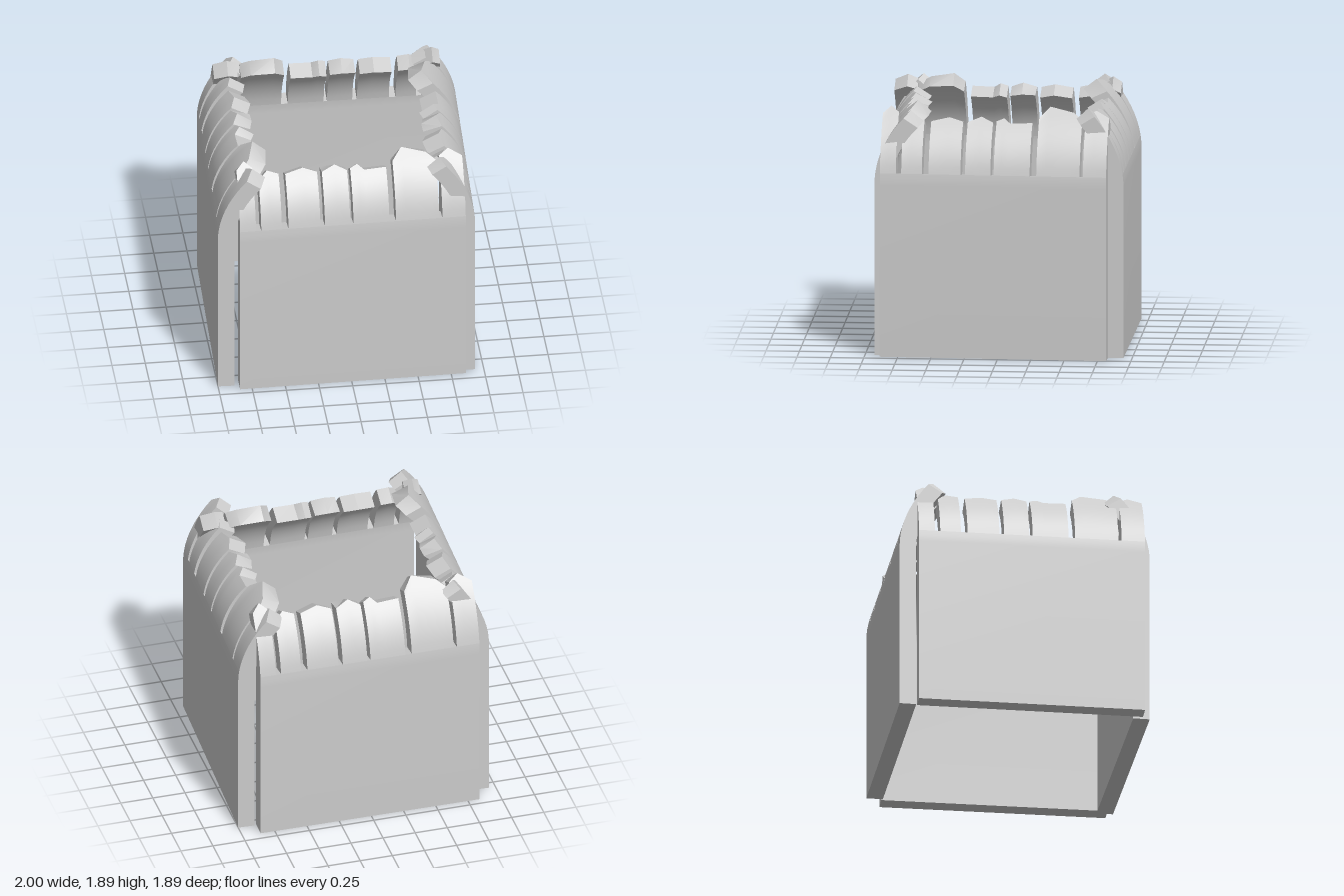
import * as THREE from 'three';
import { toCreasedNormals } from 'three/addons/utils/BufferGeometryUtils.js';

const THICK = 0.125;   // wall thickness
const BEND_Y = 1.3;    // height where the wall starts to curl inward
const R = 0.606;       // outer radius of the curl
const SLOT = 1.39;     // bottom of the slots, measured along the wall

// Point on the wall: u across, s along the curled profile, inset from the outer face
function wallPoint(u, s, inset, lift) {
  if (s <= BEND_Y) return [u, s, -inset];
  const a = (s - BEND_Y) / R, r = R - inset;
  const t = Math.max(0, (s - SLOT) / 0.5);
  return [u, BEND_Y + r * Math.sin(a) + lift * t * t, r * Math.cos(a) - R];
}

// Closed slab between s0 and a ragged end; columns are [u, outer end, inner end]
function slab(columns, s0, rows, lift = 0) {
  const grid = (inset, k) => columns.map((c) => rows.map((t) =>
    wallPoint(c[0], s0 + (c[k] - s0) * t, inset, lift)));
  const out = grid(0, 1), inn = grid(THICK, 2), pos = [];
  const quad = (a, b, c, d) => pos.push(...a, ...b, ...c, ...a, ...c, ...d);
  const I = columns.length - 1, J = rows.length - 1;
  for (let i = 0; i < I; i++) {
    for (let j = 0; j < J; j++) {
      quad(out[i][j], out[i + 1][j], out[i + 1][j + 1], out[i][j + 1]);
      quad(inn[i + 1][j], inn[i][j], inn[i][j + 1], inn[i + 1][j + 1]);
    }
    quad(out[i][J], out[i + 1][J], inn[i + 1][J], inn[i][J]);
    quad(inn[i][0], inn[i + 1][0], out[i + 1][0], out[i][0]);
  }
  for (let j = 0; j < J; j++) {
    quad(inn[0][j], out[0][j], out[0][j + 1], inn[0][j + 1]);
    quad(out[I][j], inn[I][j], inn[I][j + 1], out[I][j + 1]);
  }
  const g = new THREE.BufferGeometry();
  g.setAttribute('position', new THREE.Float32BufferAttribute(pos, 3));
  return toCreasedNormals(g, 0.5);
}

// Flaps between the slots, left to right across one wall
const FLAPS = [
  { lift: 0.05, tip: [[-0.85, 1.83, 1.87], [-0.79, 1.89, 1.92], [-0.73, 1.84, 1.86]] },
  { lift: 0.01, tip: [[-0.69, 1.77, 1.8], [-0.62, 1.84, 1.89], [-0.535, 1.81, 1.86]] },
  { lift: 0, tip: [[-0.485, 1.81, 1.87], [-0.35, 1.85, 1.92], [-0.245, 1.81, 1.87]] },
  { lift: 0.01, tip: [[-0.21, 1.8, 1.89], [-0.11, 1.85, 1.9], [-0.02, 1.8, 1.87]] },
  { lift: 0, tip: [[0.005, 1.82, 1.86], [0.06, 1.85, 1.9], [0.11, 1.8, 1.86], [0.275, 1.81, 1.87]] },
  { lift: 0.03, tip: [[0.325, 1.83, 1.89], [0.4, 1.93, 1.98], [0.58, 1.88, 1.96], [0.65, 1.82, 1.89]] },
  { lift: 0.04, tip: [[0.675, 1.84, 1.89], [0.75, 1.89, 1.93], [0.85, 1.83, 1.87]] },
];

function makeWall(name, x, z, angle, raise, material) {
  const wall = new THREE.Group();
  wall.name = name;

  // Flat lower panel with the first few degrees of the curl
  const add = (geometry, part) => {
    const mesh = new THREE.Mesh(geometry, material);
    mesh.name = part;
    wall.add(mesh);
  };
  const rows = [0, BEND_Y, 1.345, SLOT].map((s) => s / SLOT);
  add(slab([[-0.85, SLOT, SLOT], [0.85, SLOT, SLOT]], 0, rows), 'panel');

  // Curled flaps
  const steps = Array.from({ length: 9 }, (_, i) => i / 8);
  FLAPS.forEach((f, i) => add(slab(f.tip, SLOT, steps, f.lift + raise), 'flap' + (i + 1)));

  wall.position.set(x, 0, z);
  wall.rotation.y = angle;
  return wall;
}

export function createModel() {
  const model = new THREE.Group();
  model.name = 'slottedBox';
  const material = new THREE.MeshStandardMaterial({ color: 0xcccccc });

  // Four copies of the wall, each turned slightly off square
  const q = Math.PI / 2;
  model.add(
    makeWall('frontWall', 0.01, 0.937, 0.009, 0, material),
    makeWall('leftWall', 0.968, 0.035, q - 0.038, 0.01, material),
    makeWall('backWall', 0.01, -0.94, 2 * q - 0.006, 0.03, material),
    makeWall('rightWall', -0.975, 0.035, -q - 0.03, 0.01, material),
  );
  return model;
}
